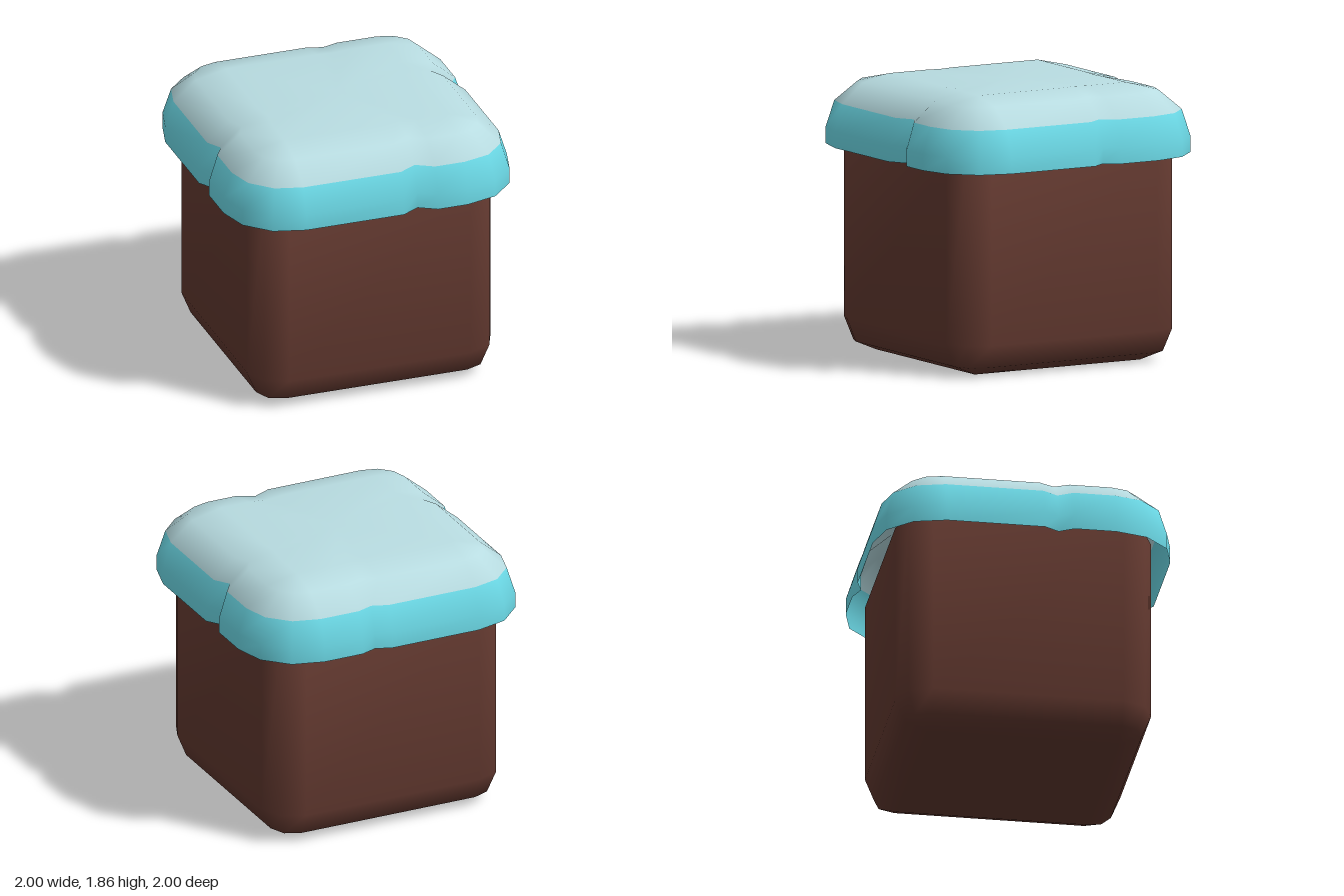
import * as THREE from 'three';
import { mergeVertices } from 'three/addons/utils/BufferGeometryUtils.js';

// Rounded square ring: a square core grown by radius r, with an optional notch on each side
function ring(core, r, y, segments, notches = [], dent = 1) {
  const points = [];
  for (let side = 0; side < 4; side++) {
    const c = Math.round(Math.cos(side * Math.PI / 2));
    const s = Math.round(Math.sin(side * Math.PI / 2));
    const add = (out, along) => points.push([out * c - along * s, y, -(out * s + along * c)]);
    if (notches[side]) {
      const { at, half, depth } = notches[side];
      add(core + r, at - half);
      add(core + r - depth * dent, at);
      add(core + r, at + half);
    }
    for (let i = 0; i <= segments; i++) {
      const a = (i / segments) * Math.PI / 2;
      add(core + r * Math.cos(a), core + r * Math.sin(a));
    }
  }
  return points;
}

// Skin over rings from bottom to top; rows at or above splitRow use the second material
function skin(rings, { bottom = false, splitRow = Infinity } = {}) {
  const n = rings[0].length;
  const positions = rings.flat(2);
  const index = [];
  let splitAt = -1;
  for (let i = 0; i < rings.length - 1; i++) {
    if (i === splitRow) splitAt = index.length;
    for (let j = 0; j < n; j++) {
      const k = (j + 1) % n;
      const a = i * n + j, b = i * n + k, c = a + n, d = b + n;
      index.push(a, b, d, a, d, c);
    }
  }
  const cap = (row, flip) => {
    const centre = positions.length / 3;
    positions.push(0, rings[row][0][1], 0);
    for (let j = 0; j < n; j++) {
      const a = row * n + j, b = row * n + (j + 1) % n;
      if (flip) index.push(b, a, centre);
      else index.push(a, b, centre);
    }
  };
  cap(rings.length - 1, false);
  if (bottom) cap(0, true);

  let geometry = new THREE.BufferGeometry();
  geometry.setAttribute('position', new THREE.Float32BufferAttribute(positions, 3));
  geometry.setIndex(index);
  geometry = mergeVertices(geometry, 1e-4);
  geometry.computeVertexNormals();
  if (splitAt >= 0) {
    geometry.addGroup(0, splitAt, 0);
    geometry.addGroup(splitAt, index.length - splitAt, 1);
  }
  return geometry;
}

export function createModel() {
  const brown = new THREE.MeshStandardMaterial({ color: 0x5e362d });
  brown.name = 'chocolate brown';
  const teal = new THREE.MeshStandardMaterial({ color: 0x6ad6e3, side: THREE.DoubleSide });
  teal.name = 'icing teal';
  const pale = new THREE.MeshStandardMaterial({ color: 0xb8dce1, side: THREE.DoubleSide });
  pale.name = 'icing pale blue';

  const group = new THREE.Group();
  group.name = 'icedCake';

  // Cake block with a rounded underside
  const bodyRings = [];
  for (let i = 0; i <= 2; i++) {
    const a = (i / 2) * Math.PI / 2;
    bodyRings.push(ring(0.64, 0.22 * Math.sin(a), 0.22 * (1 - Math.cos(a)), 2));
  }
  bodyRings.push(ring(0.64, 0.22, 1.48, 2));
  const body = new THREE.Mesh(skin(bodyRings, { bottom: true }), brown);
  body.name = 'cakeBody';
  group.add(body);

  // Icing shell, open underneath: straight skirt, then a domed shoulder
  const notches = [
    { at: 0.18, half: 0.1, depth: 0.07 },   // left side, +x
    { at: -0.18, half: 0.11, depth: 0.04 }, // back
    { at: 0.19, half: 0.1, depth: 0.06 },   // right side, -x
    { at: 0.24, half: 0.12, depth: 0.07 },  // front
  ];
  const dents = [1, 1, 0.8, 0.3];
  const icingRings = [ring(0.57, 0.43, 1.39, 3, notches)];
  for (let i = 0; i <= 3; i++) {
    const a = (i / 3) * Math.PI / 2;
    icingRings.push(ring(0.57, 0.43 * Math.cos(a), 1.5 + 0.36 * Math.sin(a), 3, notches, dents[i]));
  }
  const icing = new THREE.Mesh(skin(icingRings, { splitRow: 2 }), [teal, pale]);
  icing.name = 'icing';
  group.add(icing);

  return group;
}
